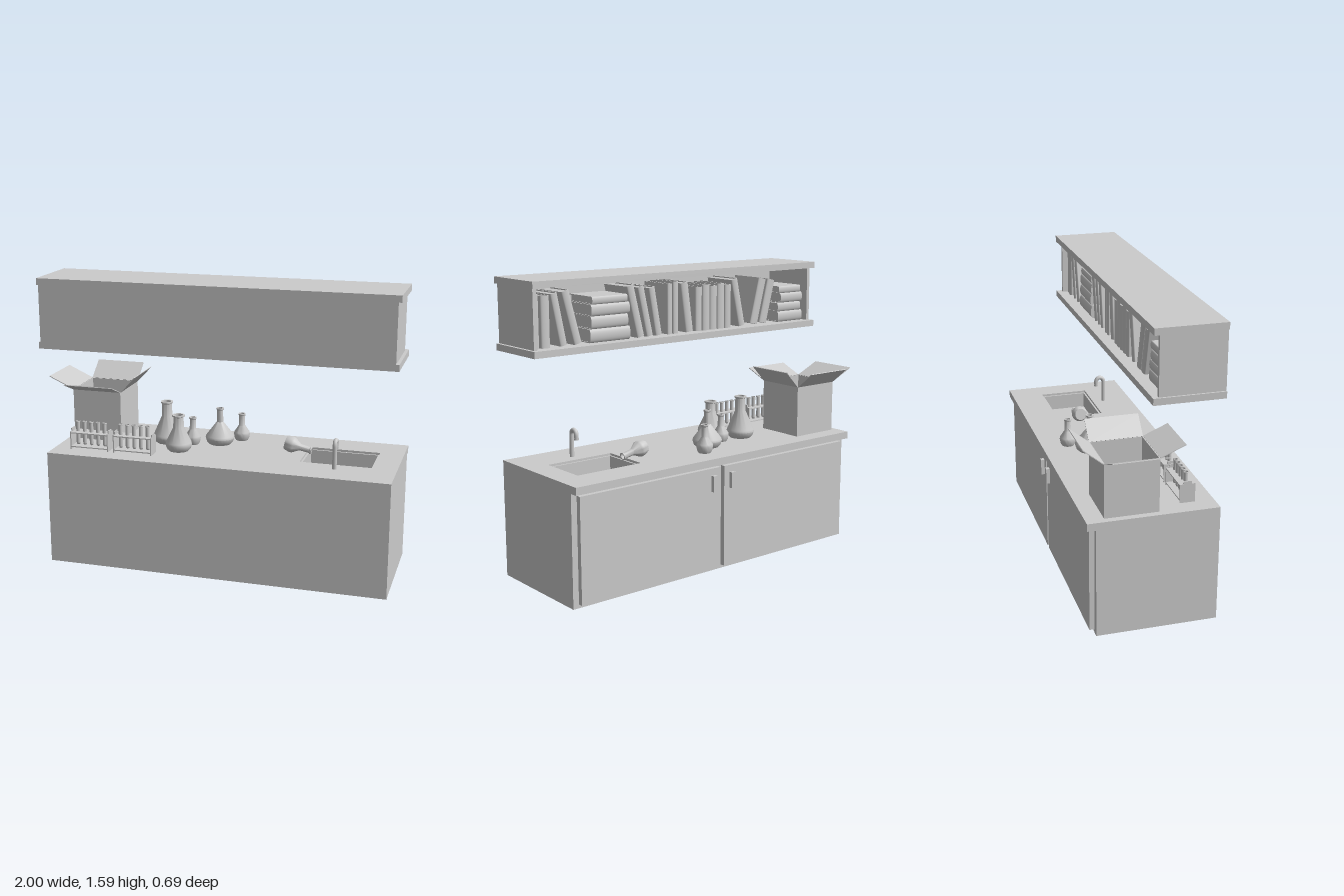
import * as THREE from 'three';
import { toCreasedNormals } from 'three/addons/utils/BufferGeometryUtils.js';

const grey = new THREE.MeshStandardMaterial({ color: 0xcccccc });
const greyDouble = new THREE.MeshStandardMaterial({ color: 0xcccccc, side: THREE.DoubleSide });

function add(parent, name, geometry, material = grey) {
  const mesh = new THREE.Mesh(geometry, material);
  mesh.name = name;
  parent.add(mesh);
  return mesh;
}

function group(parent, name) {
  const g = new THREE.Group();
  g.name = name;
  parent.add(g);
  return g;
}

// Box given by its lower and upper corner
function block(parent, name, [x0, y0, z0], [x1, y1, z1]) {
  const mesh = add(parent, name, new THREE.BoxGeometry(x1 - x0, y1 - y0, z1 - z0));
  mesh.position.set((x0 + x1) / 2, (y0 + y1) / 2, (z0 + z1) / 2);
  return mesh;
}

const TOP = 0.63;
const SINK = { x0: 0.465, x1: 0.855, z0: -0.155, z1: 0.115, floor: 0.53 };

function cabinet(root) {
  const g = group(root, 'cabinet');
  block(g, 'cabinetFront', [-0.89, 0, 0.325], [0.985, 0.59, 0.345]);
  block(g, 'cabinetBack', [-0.87, 0.02, -0.29], [0.965, 0.59, -0.27]);
  block(g, 'cabinetBottom', [-0.87, 0, -0.29], [0.965, 0.02, 0.325]);
  block(g, 'cabinetSide', [-0.89, 0, -0.29], [-0.87, 0.59, 0.325]);
  block(g, 'cabinetSide', [0.965, 0, -0.29], [0.985, 0.59, 0.325]);

  // Doors and handles mirrored about the middle
  for (const s of [-1, 1]) {
    const mid = 0.047;
    const span = (a, b) => [mid + s * a, mid + s * b].sort((p, q) => p - q);
    const [d0, d1] = span(0.012, 0.905);
    block(g, 'door', [d0, 0.02, -0.317], [d1, 0.575, -0.29]);
    const [h0, h1] = span(0.05, 0.076);
    block(g, 'doorHandle', [h0, 0.45, -0.337], [h1, 0.537, -0.317]);
  }

  // Worktop with a cut-out for the sink
  const slab = new THREE.Shape([[-0.89, -0.335], [0.985, -0.335], [0.985, 0.345], [-0.89, 0.345]]
    .map(p => new THREE.Vector2(...p)));
  const { x0, x1, z0, z1, floor } = SINK;
  slab.holes.push(new THREE.Path([[x0, z0], [x0, z1], [x1, z1], [x1, z0]].map(p => new THREE.Vector2(...p))));
  const top = new THREE.ExtrudeGeometry(slab, { depth: 0.04, bevelEnabled: false }).rotateX(Math.PI / 2);
  add(g, 'worktop', top).position.y = TOP;

  // Sink basin, set just inside the cut-out
  const t = 0.01, rim = TOP - 0.012;
  block(g, 'sinkFloor', [x0, floor - t, z0], [x1, floor, z1]);
  block(g, 'sinkWall', [x0, floor, z0], [x0 + t, rim, z1]);
  block(g, 'sinkWall', [x1 - t, floor, z0], [x1, rim, z1]);
  block(g, 'sinkWall', [x0 + t, floor, z0], [x1 - t, rim, z0 + t]);
  block(g, 'sinkWall', [x0 + t, floor, z1 - t], [x1 - t, rim, z1]);
}

function faucet(root) {
  const g = group(root, 'faucet');
  g.position.set(0.665, TOP, 0.182);
  const path = new THREE.CurvePath();
  const v = (y, z) => new THREE.Vector3(0, y, z);
  path.add(new THREE.LineCurve3(v(0, 0), v(0.12, 0)));
  path.add(new THREE.CubicBezierCurve3(v(0.12, 0), v(0.158, 0), v(0.158, -0.045), v(0.12, -0.045)));
  path.add(new THREE.LineCurve3(v(0.12, -0.045), v(0.105, -0.045)));
  add(g, 'faucetPipe', new THREE.TubeGeometry(path, 40, 0.012, 14), greyDouble);
  add(g, 'spoutEnd', new THREE.CylinderGeometry(0.013, 0.013, 0.012, 14)).position.set(0, 0.104, -0.045);
}

// Overhead cupboard, open to the back
function shelfUnit(root) {
  const g = group(root, 'shelfUnit');
  block(g, 'shelfTop', [-0.91, 1.55, -0.02], [1, 1.585, 0.345]);
  block(g, 'shelfBottom', [-0.91, 1.21, -0.02], [1, 1.245, 0.345]);
  block(g, 'shelfSide', [-0.9, 1.245, 0.01], [-0.88, 1.55, 0.345]);
  block(g, 'shelfSide', [0.963, 1.245, 0.01], [0.983, 1.55, 0.345]);
  block(g, 'shelfPanel', [-0.88, 1.245, 0.33], [0.963, 1.55, 0.345]);
}

// Book standing on y = 0, rounded spine facing -z
function book(parent, w, h, d) {
  const g = group(parent, 'book');
  const c = 0.005, r = w / 2;
  block(g, 'pages', [-r + c, 0.006, 0], [r - c, h - 0.006, d - 0.008]);
  block(g, 'cover', [-r, 0, 0], [-r + c, h, d]);
  block(g, 'cover', [r - c, 0, 0], [r, h, d]);
  const spine = new THREE.CylinderGeometry(r, r, h, 10, 1, false, Math.PI / 2, Math.PI);
  spine.scale(1, 1, 0.4).translate(0, h / 2, 0);
  add(g, 'spine', spine, greyDouble);
  return g;
}

function books(root) {
  const g = group(root, 'books');
  const base = 1.246, front = 0.045;
  // Upright and leaning books: x at the foot, thickness, height, depth, lean
  const rows = [
    [0.945, 0.025, 0.27, 0.2, 0], [0.895, 0.05, 0.26, 0.2, 0],
    [0.79, 0.04, 0.27, 0.19, -0.2], [0.705, 0.045, 0.28, 0.2, -0.26],
    [0.31, 0.045, 0.28, 0.2, -0.24], [0.25, 0.04, 0.27, 0.19, -0.22], [0.19, 0.04, 0.26, 0.2, -0.18],
    [0.115, 0.03, 0.27, 0.2, 0], [0.075, 0.035, 0.28, 0.2, 0], [-0.02, 0.05, 0.27, 0.2, -0.14],
    [-0.085, 0.045, 0.24, 0.2, 0], [-0.137, 0.05, 0.25, 0.19, 0], [-0.19, 0.05, 0.24, 0.2, 0],
    [-0.243, 0.05, 0.25, 0.2, 0], [-0.295, 0.045, 0.24, 0.19, 0], [-0.4, 0.045, 0.27, 0.2, -0.22],
    [-0.49, 0.055, 0.26, 0.2, 0.25], [-0.56, 0.055, 0.25, 0.2, 0.25],
  ];
  for (const [x, w, h, d, lean] of rows) {
    const b = book(g, w, h, d);
    b.position.set(x, base + (w / 2) * Math.sin(Math.abs(lean)), front);
    b.rotation.z = lean;
  }
  // Piles of lying books: x of the right end, then length and thickness of each
  const piles = [
    [0.385, [[0.25, 0.07], [0.23, 0.065], [0.24, 0.06], [0.22, 0.04]]],
    [-0.865, [[0.19, 0.06], [0.18, 0.05], [0.17, 0.055], [0.17, 0.04]]],
  ];
  for (const [x, pile] of piles) {
    let y = base;
    pile.forEach(([len, w], i) => {
      const b = book(g, w, len, 0.2);
      b.rotation.z = -Math.PI / 2;
      b.position.set(x + 0.012 * (i % 2), y + w / 2, front);
      y += w;
    });
  }
}

// Conical flask with an open neck: body radius, neck radius, height
function flask(root, x, z, r, neck, h, shoulder) {
  const pts = [[0, 0], [r * 0.75, 0], [r * 0.9, 0.012], [r, 0.035], [r * 0.96, 0.047], [neck, shoulder],
    [neck * 0.92, h - 0.012], [neck * 1.15, h - 0.008], [neck * 1.15, h], [neck * 0.8, h],
    [neck * 0.8, shoulder], [r * 0.85, 0.045], [0, 0.01]].map(p => new THREE.Vector2(...p));
  const geometry = toCreasedNormals(new THREE.LatheGeometry(pts, 28), 0.6);
  const mesh = add(root, 'flask', geometry, greyDouble);
  mesh.position.set(x, TOP, z);
  return mesh;
}

// Rack with a row of test tubes
function tubeRack(root, x, z) {
  const g = group(root, 'testTubeRack');
  g.position.set(x, TOP, z);
  const w = 0.11, d = 0.04;
  // End plates with a stepped outline
  const end = new THREE.Shape([[-d, 0], [d, 0], [d, 0.1], [0.022, 0.1], [0.022, 0.115], [-0.022, 0.115],
    [-0.022, 0.1], [-d, 0.1]].map(p => new THREE.Vector2(...p)));
  const plate = new THREE.ExtrudeGeometry(end, { depth: 0.006, bevelEnabled: false })
    .rotateY(Math.PI / 2).translate(-0.003, 0, 0);
  for (const s of [-1, 1]) add(g, 'rackEnd', plate).position.x = s * (w - 0.003);
  block(g, 'rackShelf', [-w, 0.012, -d], [w, 0.018, d]);
  block(g, 'rackShelf', [-w, 0.09, -d], [w, 0.096, d]);
  const tube = new THREE.LatheGeometry([[0, 0.018], [0.008, 0.022], [0.011, 0.032], [0.011, 0.147], [0.013, 0.148],
    [0.013, 0.154], [0.009, 0.154], [0.009, 0.03], [0, 0.024]].map(p => new THREE.Vector2(...p)), 14);
  for (let i = -2; i <= 2; i++) add(g, 'testTube', tube, greyDouble).position.x = i * 0.039;
}

// Open carton with four spread flaps
function carton(root) {
  const g = group(root, 'carton');
  const half = 0.14, h = 0.285, t = 0.005;
  g.position.set(-0.715, TOP, -0.1);
  block(g, 'cartonFloor', [-half, 0, -half], [half, t, half]);
  // Angle about y, flap reach outwards and upwards
  [[0, 0.13, 0.055], [Math.PI / 2, 0.085, 0.09], [Math.PI, 0.105, 0.085], [-Math.PI / 2, 0.144, 0.065]]
    .forEach(([turn, out, up]) => {
      const side = group(g, 'cartonSide');
      side.rotation.y = turn;
      block(side, 'cartonWall', [-half, 0, half - t], [half, h, half]);
      const flap = add(side, 'cartonFlap', new THREE.BoxGeometry(2 * half, 0.004, Math.hypot(out, up)));
      flap.position.set(0, h + up / 2, half + out / 2);
      flap.rotation.x = -Math.atan2(up, out);
    });
}

export function createModel() {
  const root = new THREE.Group();
  root.name = 'laboratoryBench';
  cabinet(root);
  faucet(root);
  shelfUnit(root);
  books(root);
  carton(root);
  tubeRack(root, -0.685, 0.205);
  tubeRack(root, -0.435, 0.205);

  const glass = group(root, 'flasks');
  flask(glass, -0.327, -0.035, 0.078, 0.03, 0.235, 0.15);
  flask(glass, -0.217, 0.095, 0.073, 0.03, 0.2, 0.13);
  flask(glass, -0.178, -0.04, 0.044, 0.018, 0.153, 0.085);
  flask(glass, -0.035, -0.092, 0.081, 0.018, 0.204, 0.125);
  flask(glass, 0.065, -0.19, 0.045, 0.018, 0.153, 0.085);
  // Flask lying on its side by the sink
  const fallen = flask(glass, 0.352, -0.04, 0.044, 0.018, 0.15, 0.085);
  fallen.position.y = 0.681;
  fallen.rotation.z = -Math.PI / 2 - 0.23;
  return root;
}
